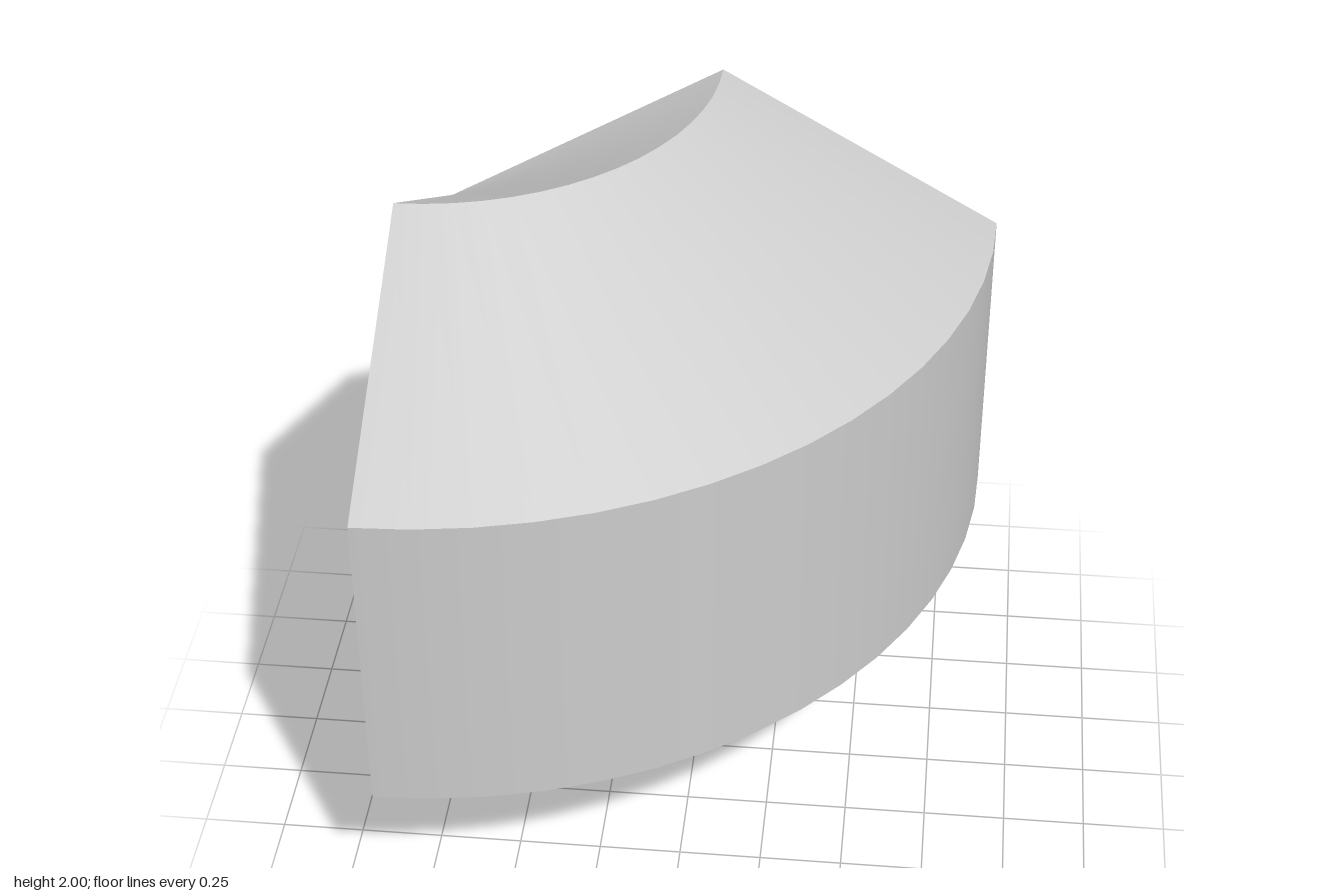
import * as THREE from 'three';

const R = Math.sqrt(3) / 2; // sweep radius of the tube's centre line
const SEGMENTS = 16;

// Hexagon with a corner at the top, counter-clockwise
function hexagon(radius) {
  return Array.from({ length: 6 }, (_, i) => {
    const a = Math.PI / 2 + (i * Math.PI) / 3;
    return new THREE.Vector2(radius * Math.cos(a), radius * Math.sin(a));
  });
}

export function createModel() {
  const group = new THREE.Group();
  group.name = 'hexagonalElbow';
  const material = new THREE.MeshStandardMaterial({ color: 0xcccccc });

  const add = (geometry, name, x, y, z) => {
    const mesh = new THREE.Mesh(geometry, material);
    mesh.name = name;
    mesh.position.set(x, y, z);
    group.add(mesh);
    return mesh;
  };

  // Each hexagon side is its own quarter-turn band, so the corners stay sharp
  const addWalls = (corners, name) => {
    corners.forEach((p, i) => {
      const ends = [p, corners[(i + 1) % 6]].map(
        (v) => new THREE.Vector2(Math.max(0, R + v.x), v.y + 1));
      if (ends[0].x + ends[1].x < 1e-6) return; // side lying on the sweep axis
      add(new THREE.LatheGeometry(ends, SEGMENTS, 0, Math.PI / 2), name + (i + 1), -R, 0, -R);
    });
  };
  const outer = hexagon(1);
  const inner = hexagon(2 / 3);
  addWalls(outer, 'outerWall');
  addWalls([...inner].reverse(), 'innerWall');

  // Flat hexagonal rims closing the two cut ends
  const rim = new THREE.Shape(outer);
  rim.holes.push(new THREE.Path(inner));
  const rimGeometry = new THREE.ShapeGeometry(rim);
  add(rimGeometry, 'backRim', 0, 1, -R).rotation.y = Math.PI;
  add(rimGeometry, 'rightRim', -R, 1, 0).rotation.y = -Math.PI / 2;

  return group;
}
